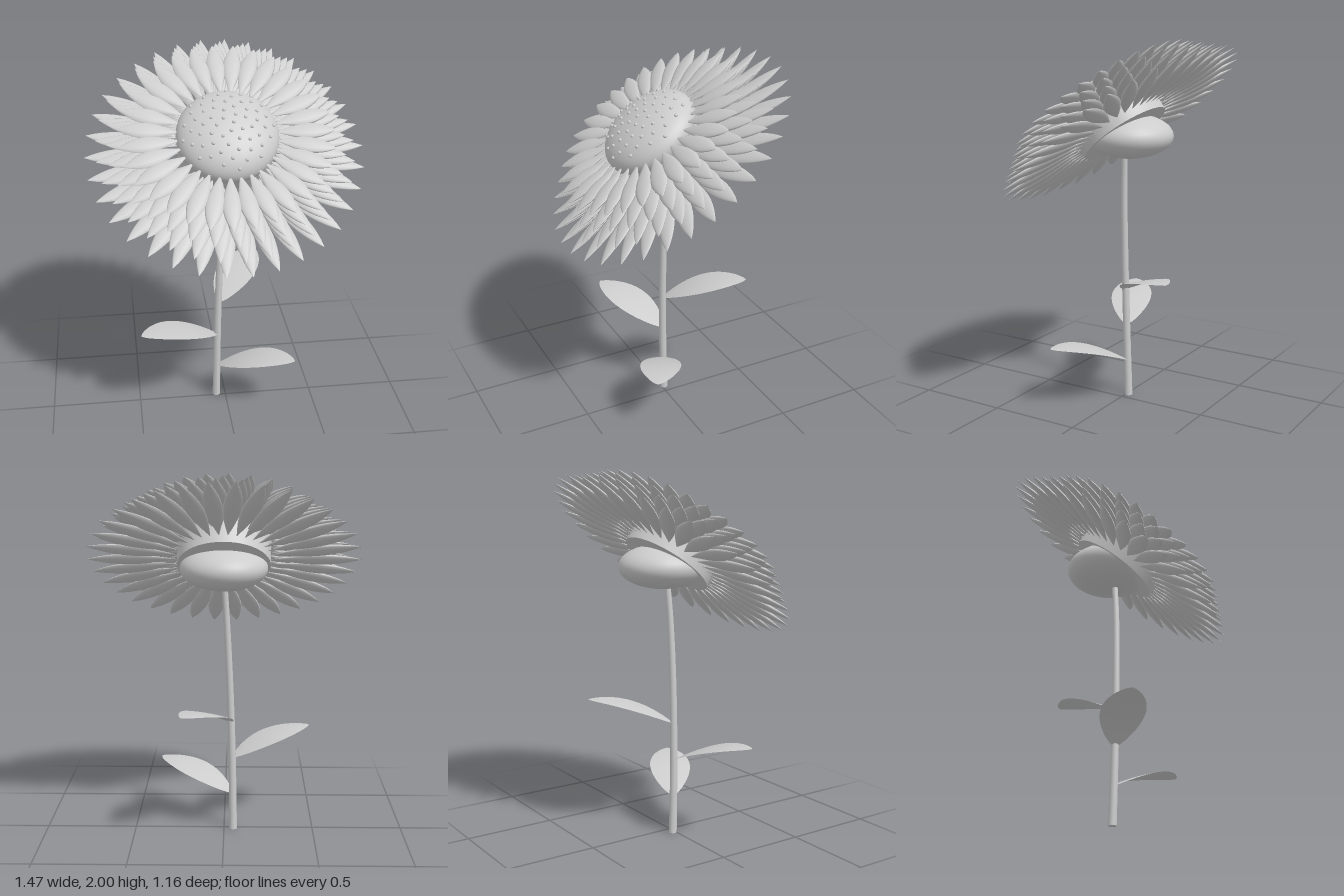
import * as THREE from 'three';

const paleGrey = new THREE.MeshStandardMaterial({ color: 0xcccccc, side: THREE.DoubleSide });
paleGrey.name = 'paleGrey';

function add(parent, geometry, name) {
  const mesh = new THREE.Mesh(geometry, paleGrey);
  mesh.name = name;
  parent.add(mesh);
  return mesh;
}

// Lens-shaped petal along +y: narrow base, broad outer half, pointed tip
function petalGeometry(inner, outer, halfWidth, halfThick) {
  const g = new THREE.SphereGeometry(1, 12, 12);
  const p = g.attributes.position;
  for (let i = 0; i < p.count; i++) {
    const x = p.getX(i), z = p.getZ(i);
    const t = 1 - Math.acos(THREE.MathUtils.clamp(p.getY(i), -1, 1)) / Math.PI;
    const w = Math.pow(Math.max(0, Math.sin(Math.PI * Math.pow(t, 1.2))), 0.85);
    const k = w / Math.max(Math.hypot(x, z), 1e-6);
    p.setXYZ(i, x * k * halfWidth, inner + (outer - inner) * t, z * k * halfThick);
  }
  g.computeVertexNormals();
  return g;
}

// Arched oval leaf blade along +x, its edges drooping slightly
function leafGeometry(length, rise, halfWidth) {
  const g = new THREE.PlaneGeometry(1, 2, 28, 8);
  const p = g.attributes.position;
  for (let i = 0; i < p.count; i++) {
    const t = p.getX(i) + 0.5;
    const s = p.getY(i);
    const w = Math.pow(Math.max(0, Math.sin(Math.PI * t)), 0.7);
    p.setXYZ(i, length * t, rise * (2.15 * t - 1.15 * t * t) - 0.006 * s * s * w, -halfWidth * w * s);
  }
  g.computeVertexNormals();
  return g;
}

// Stem: a gently bent, tapering tube
function stemGeometry() {
  const curve = new THREE.CatmullRomCurve3([
    new THREE.Vector3(-0.052, 0, -0.014),
    new THREE.Vector3(-0.045, 0.45, -0.003),
    new THREE.Vector3(-0.032, 0.85, 0),
    new THREE.Vector3(-0.015, 1.2, -0.006),
    new THREE.Vector3(0, 1.45, -0.02),
  ]);
  const g = new THREE.CylinderGeometry(0.016, 0.022, 1, 16, 24);
  const p = g.attributes.position;
  for (let i = 0; i < p.count; i++) {
    const c = curve.getPoint(THREE.MathUtils.clamp(p.getY(i) + 0.5, 0, 1));
    p.setXYZ(i, p.getX(i) + c.x, c.y, p.getZ(i) + c.z);
  }
  g.computeVertexNormals();
  return g;
}

export function createModel() {
  const model = new THREE.Group();
  model.name = 'sunflower';
  add(model, stemGeometry(), 'stem');

  // Three leaves: base point and horizontal reach
  const leaves = [
    { base: [-0.045, 0.21, -0.008], dx: 0.41, dz: 0.24, rise: 0.138 },
    { base: [-0.045, 0.418, -0.005], dx: -0.44, dz: 0.2, rise: 0.135 },
    { base: [-0.035, 0.625, 0], dx: 0.25, dz: -0.393, rise: 0.138 },
  ];
  for (const l of leaves) {
    const leaf = add(model, leafGeometry(Math.hypot(l.dx, l.dz), l.rise, 0.115), 'leaf');
    leaf.position.set(...l.base);
    leaf.rotation.y = Math.atan2(-l.dz, l.dx);
  }

  // Rounded base under the flower head
  const receptacle = add(model, new THREE.SphereGeometry(1, 40, 24), 'receptacle');
  receptacle.scale.set(0.235, 0.12, 0.24);
  receptacle.position.set(0, 1.49, -0.045);

  // Flower head, tilted so its local +z faces up and forward
  const head = new THREE.Group();
  head.name = 'flowerHead';
  head.position.set(0, 1.53, 0.0025);
  head.rotation.x = -0.92;
  model.add(head);

  // Four petal rings, each smaller and with one petal fewer
  for (let k = 0; k < 4; k++) {
    const ring = new THREE.Group();
    ring.name = 'petalRing';
    ring.position.z = 0.0555 * k;
    head.add(ring);
    const geometry = petalGeometry(0.245, 0.734 - 0.058 * k, 0.047, 0.016);
    const perRing = 34 - k;
    for (let i = 0; i < perRing; i++) {
      const petal = add(ring, geometry, 'petal');
      petal.rotation.z = (i / perRing) * Math.PI * 2 - Math.PI / 2;
    }
  }

  // Round backing that holds the petals
  const backing = add(head, new THREE.CylinderGeometry(0.255, 0.25, 0.19, 48), 'backing');
  backing.rotation.x = Math.PI / 2;
  backing.position.z = 0.055;

  // Domed centre
  const R = 0.265, H = 0.13, discZ = 0.148;
  const disc = add(head, new THREE.SphereGeometry(1, 48, 32), 'seedDisc');
  disc.scale.set(R, R, H);
  disc.position.z = discZ;

  // Seeds in a sunflower spiral over the dome
  const seedGeometry = new THREE.SphereGeometry(0.0095, 10, 8);
  const count = 60, golden = Math.PI * (3 - Math.sqrt(5));
  for (let i = 0; i < count; i++) {
    const r = 0.24 * Math.sqrt((i + 0.5) / count);
    const seed = add(head, seedGeometry, 'seed');
    seed.position.set(r * Math.cos(i * golden), r * Math.sin(i * golden),
      discZ + H * Math.sqrt(1 - (r / R) ** 2));
  }
  return model;
}
